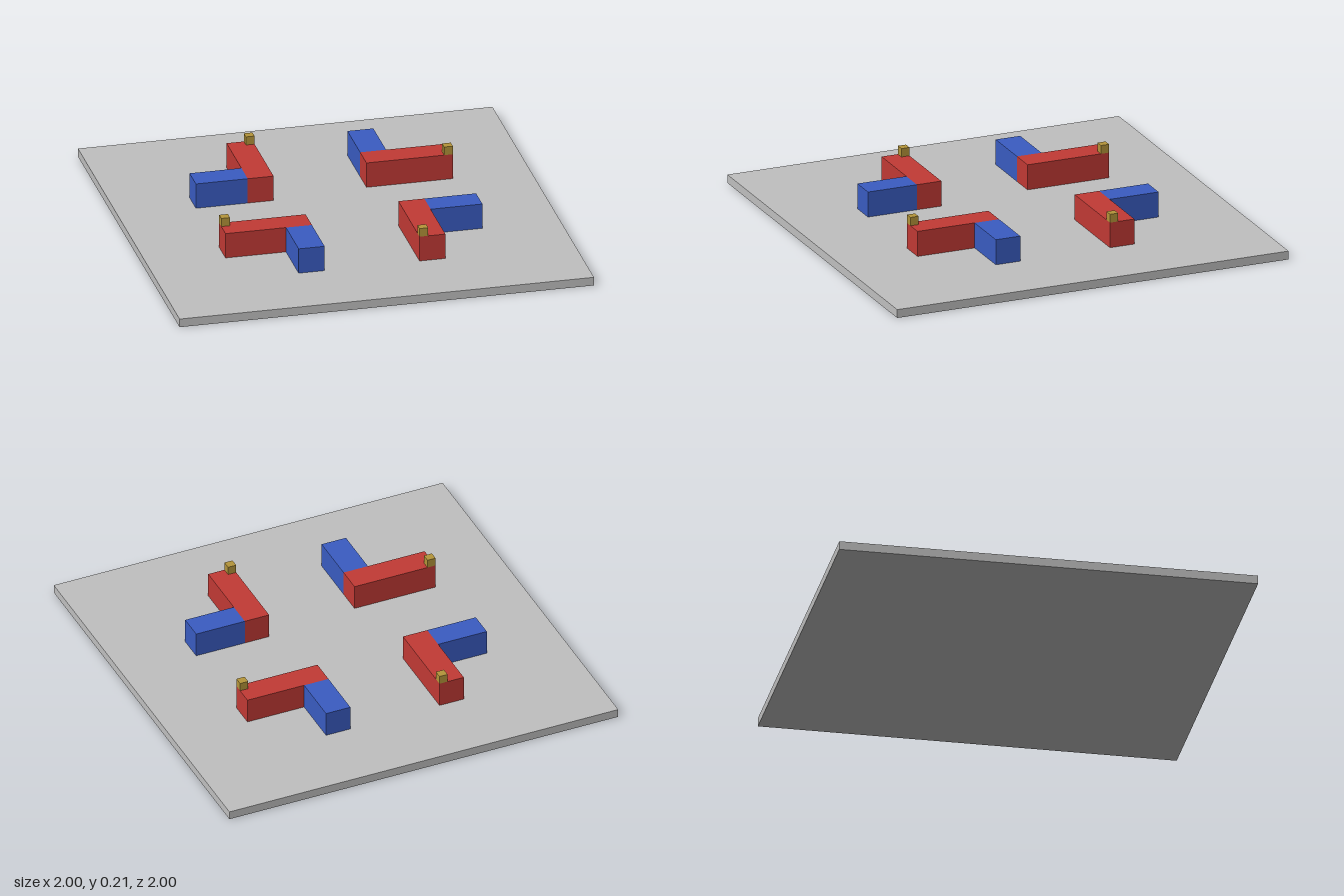
import * as THREE from 'three';

// All sizes are whole steps of this grid unit
const U = 1 / 24;

function material(name, color) {
  const m = new THREE.MeshStandardMaterial({ color });
  m.name = name;
  return m;
}

// Box from its min and max corners, in grid units
function block(name, mat, [x0, y0, z0], [x1, y1, z1]) {
  const geometry = new THREE.BoxGeometry((x1 - x0) * U, (y1 - y0) * U, (z1 - z0) * U);
  const mesh = new THREE.Mesh(geometry, mat);
  mesh.position.set((x0 + x1) * U / 2, (y0 + y1) * U / 2, (z0 + z1) * U / 2);
  mesh.name = name;
  return mesh;
}

export function createModel() {
  const grey = material('grey', 0xc0c0c0);
  const red = material('red', 0xc23a35);
  const blue = material('blue', 0x3a5cc2);
  const gold = material('gold', 0xb5953a);

  const model = new THREE.Group();
  model.name = 'courtyardBlocks';

  // Square ground slab
  model.add(block('baseSlab', grey, [-24, 0, -24], [24, 1, 24]));

  // Four L-shaped buildings, turned a quarter each around the centre
  for (let i = 0; i < 4; i++) {
    const building = new THREE.Group();
    building.name = `building${i + 1}`;
    building.add(
      block('longWing', red, [6, 1, 5], [9, 4, 15]),
      block('shortWing', blue, [9, 1, 5], [15, 4, 8]),
      block('roofCube', gold, [6, 4, 14], [7, 5, 15])
    );
    building.rotation.y = i * Math.PI / 2;
    model.add(building);
  }

  return model;
}
